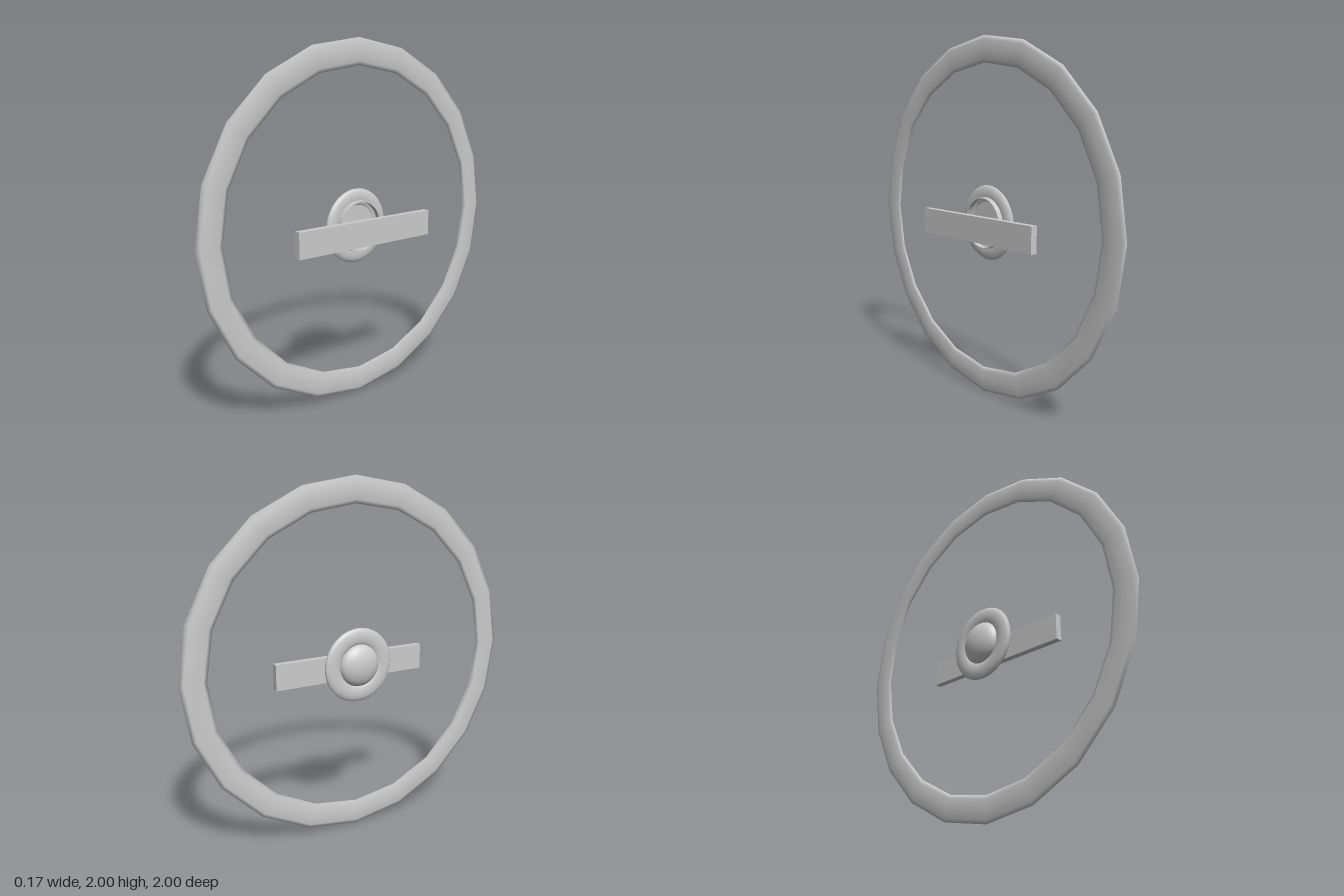
import * as THREE from 'three';

const material = new THREE.MeshStandardMaterial({ color: 0xcccccc });
const doubleSided = new THREE.MeshStandardMaterial({ color: 0xcccccc, side: THREE.DoubleSide });

export function createModel() {
  const group = new THREE.Group();
  const add = (name, geometry, x, y, mat = material) => {
    const mesh = new THREE.Mesh(geometry, mat);
    mesh.name = name;
    mesh.position.set(x, y, 0);
    group.add(mesh);
    return mesh;
  };

  // A torus turned to face along x and flattened along its axis
  const flatRing = (radius, tube, halfThickness, tubeSides, sides) =>
    new THREE.TorusGeometry(radius, tube, tubeSides, sides)
      .scale(1, 1, halfThickness / tube)
      .rotateY(Math.PI / 2);

  // Large twenty-sided rim
  add('rim', flatRing(0.9275, 0.0725, 0.012, 8, 20), 0.004, 1);

  // Hub: rounded collar, shallow dome and the short sleeve behind it
  const hubY = 0.98;
  add('hubCollar', flatRing(0.16, 0.05, 0.019, 12, 40), -0.025, hubY);

  const dome = new THREE.SphereGeometry(0.12, 40, 12, 0, Math.PI * 2, 0, Math.PI / 2)
    .scale(1, 0.5, 1)
    .rotateZ(Math.PI / 2);
  add('hubDome', dome, -0.03, hubY, doubleSided);

  // Thin-walled sleeve with a recessed floor
  const profile = [[0.145, -0.03], [0.145, 0.022], [0.137, 0.022], [0.137, -0.015], [0, -0.015]];
  const sleeve = new THREE.LatheGeometry(profile.map(([r, h]) => new THREE.Vector2(r, h)), 40)
    .rotateZ(-Math.PI / 2)
    .toNonIndexed();
  sleeve.computeVertexNormals();
  add('hubSleeve', sleeve, 0, hubY, doubleSided);

  // Flat crossbar standing clear of the hub
  add('crossbar', new THREE.BoxGeometry(0.038, 0.145, 0.93), 0.066, 0.953);

  return group;
}
